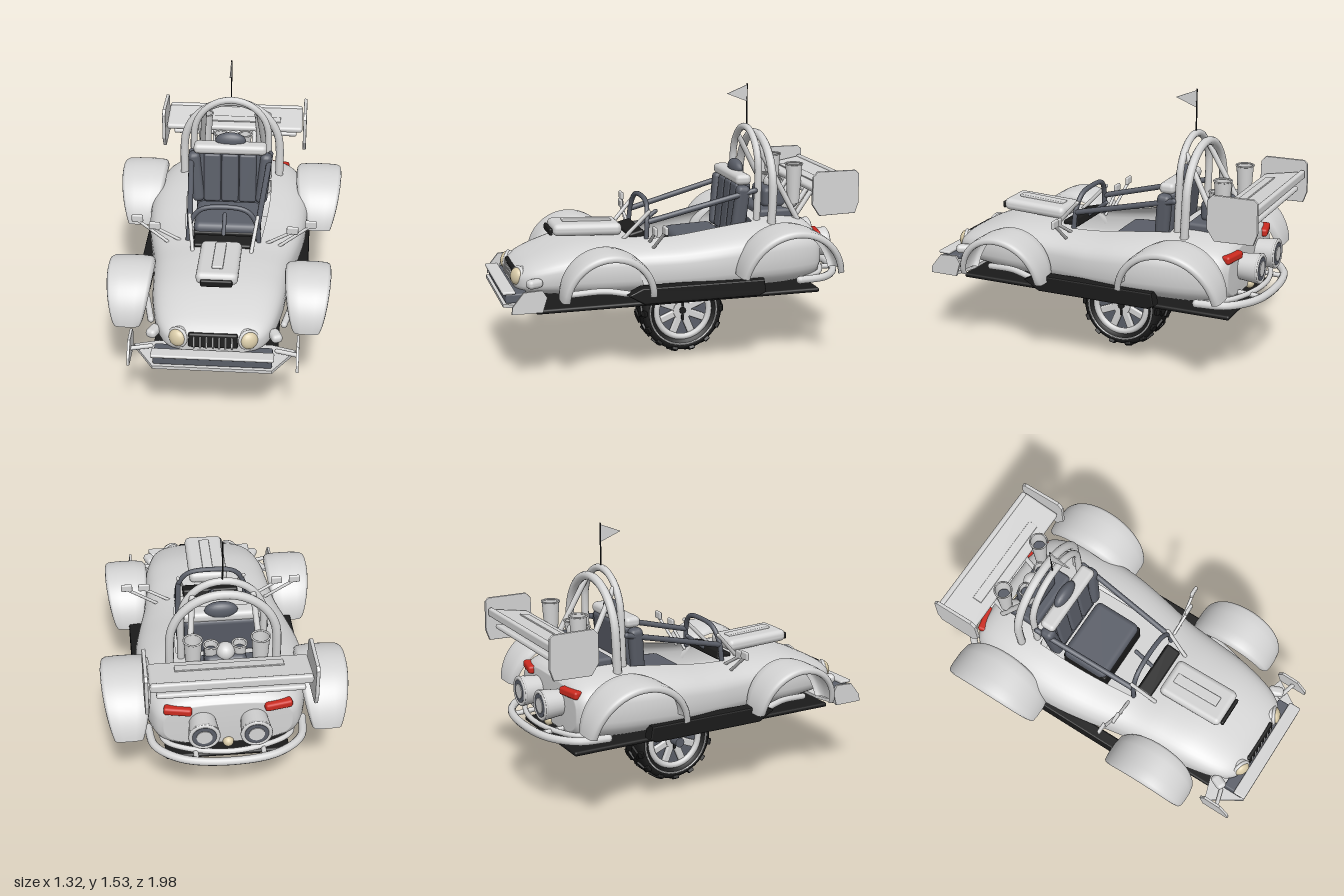
import * as THREE from 'three';
import { mergeVertices } from 'three/addons/utils/BufferGeometryUtils.js';
import { RoundedBoxGeometry } from 'three/addons/geometries/RoundedBoxGeometry.js';

const V = (x, y, z) => new THREE.Vector3(x, y, z);
function material(name, color, side = THREE.FrontSide) {
  const m = new THREE.MeshStandardMaterial({ color, side });
  m.name = name;
  return m;
}

export function createModel() {
  const root = new THREE.Group();
  root.name = 'buggy';
  const paint = material('light grey paint', 0xd4d4d4, THREE.DoubleSide);
  const dark = material('slate grey', 0x5a5e68, THREE.DoubleSide);
  const black = material('black rubber', 0x1b1b1b, THREE.DoubleSide);
  const lamp = material('cream lamp', 0xd9cba8);
  const red = material('red lamp', 0xcc2a1f);

  // ---- helpers ----
  const add = (name, geo, mat, pos = [0, 0, 0], rot = [0, 0, 0], parent = root) => {
    const m = new THREE.Mesh(geo, mat);
    m.name = name;
    m.position.set(...pos);
    m.rotation.set(...rot);
    parent.add(m);
    return m;
  };
  const box = (name, mat, size, pos, rot, r = 0.012, parent = root) =>
    add(name, new RoundedBoxGeometry(...size, 2, Math.min(r, Math.min(...size) * 0.45)), mat, pos, rot, parent);
  const tube = (name, mat, pts, r) => {
    const curve = pts.length === 2 ? new THREE.LineCurve3(V(...pts[0]), V(...pts[1]))
      : new THREE.CatmullRomCurve3(pts.map(p => V(...p)));
    add(name, new THREE.TubeGeometry(curve, pts.length === 2 ? 1 : 40, r, 10), mat);
    for (const p of [pts[0], pts[pts.length - 1]])
      add(name + 'End', new THREE.SphereGeometry(r, 10, 6), mat, p);
  };
  const sides = fn => [1, -1].forEach(fn);
  // surface from a rule; skip leaves openings
  const grid = (rows, cols, fn, flip = false, skip = () => false) => {
    const pos = [], idx = [], n = cols + 1;
    for (let i = 0; i <= rows; i++) for (let j = 0; j <= cols; j++) pos.push(...fn(i, j));
    for (let i = 0; i < rows; i++) for (let j = 0; j < cols; j++) {
      if (skip(i, j)) continue;
      const a = i * n + j, b = a + n, c = a + 1, d = b + 1;
      if (flip) idx.push(a, c, b, c, d, b); else idx.push(a, b, c, c, b, d);
    }
    let g = new THREE.BufferGeometry();
    g.setAttribute('position', new THREE.Float32BufferAttribute(pos, 3));
    g.setIndex(idx);
    g = mergeVertices(g, 1e-5);
    g.computeVertexNormals();
    return g;
  };
  // plate outlined in (z, y), thick along x
  const sidePlate = (name, mat, pts, x, t, bevel = 0) => {
    const s = new THREE.Shape(pts.map(([z, y]) => new THREE.Vector2(-z, y)));
    const g = new THREE.ExtrudeGeometry(s, { depth: t, bevelEnabled: bevel > 0, bevelSize: bevel, bevelThickness: bevel, bevelSegments: 2 });
    g.translate(0, 0, -t / 2);
    return add(name, g, mat, [x, 0, 0], [0, Math.PI / 2, 0]);
  };

  // ---- body shell: z, half width, bottom, top ----
  const sec = [[0.905, 0.19, 0.47, 0.57], [0.875, 0.25, 0.455, 0.595], [0.8, 0.3, 0.44, 0.635], [0.6, 0.35, 0.42, 0.7],
    [0.4, 0.37, 0.41, 0.72], [0.2, 0.39, 0.41, 0.72], [0, 0.43, 0.41, 0.735], [-0.2, 0.46, 0.41, 0.765], [-0.4, 0.465, 0.41, 0.79],
    [-0.6, 0.44, 0.41, 0.795], [-0.72, 0.41, 0.42, 0.78], [-0.78, 0.38, 0.435, 0.755], [-0.81, 0.34, 0.465, 0.725]];
  const plan = new THREE.CatmullRomCurve3(sec.map(s => V(s[0], s[1], 0)));
  const elev = new THREE.CatmullRomCurve3(sec.map(s => V(s[0], s[2], s[3])));
  const ROWS = 74, RING = 48, pow = v => Math.sign(v) * Math.abs(v) ** 0.67;
  const at = i => Math.min(1, Math.max(0, (i - 1) / (ROWS - 2)));
  const shell = grid(ROWS, RING, (i, j) => {
    const p = plan.getPoint(at(i)), e = elev.getPoint(at(i)), a = (j % RING) / RING * Math.PI * 2;
    const k = i === 0 || i === ROWS ? 0 : 1;
    return [k * p.y * pow(Math.cos(a)), (e.y + e.z) / 2 + k * (e.z - e.y) / 2 * pow(Math.sin(a)), p.x];
  }, false, (i, j) => {
    const z = plan.getPoint(at(i + 0.5)).x;
    return (j >= 9 && j <= 14 && z < 0.18 && z > -0.45) || (j >= 10 && j <= 13 && z < -0.5 && z > -0.72);
  });
  add('bodyShell', shell, paint);
  box('cockpitFloor', paint, [0.62, 0.02, 0.72], [0, 0.515, -0.1], [0, 0, 0], 0.006);
  box('floorPlate', black, [0.67, 0.026, 1.63], [0, 0.377, 0], [0, 0, 0], 0.012);

  // ---- fenders with rolled lips ----
  const lip = [[-1, -0.04], [-0.97, -0.02], [-0.85, -0.006], [-0.4, 0], [0.4, 0], [0.85, -0.004], [0.97, -0.012], [1, -0.028], [0.96, -0.04], [0.85, -0.042], [0.8, -0.034]];
  const fender = (name, s, cx, cy, cz, r, w0, w1, start) => add(name, grid(36, lip.length - 1, (i, j) => {
    const a = start + i / 36 * (Math.PI - 2 * start), [k, d] = lip[j];
    const w = w0 + (w1 - w0) * Math.max(0, Math.sin(a)) ** 0.7;
    return [s * (cx + w * k), cy + (r + d) * Math.sin(a), cz + (r + d) * Math.cos(a)];
  }, s > 0), paint);
  sides(s => {
    fender('frontFender', s, 0.48, 0.475, 0.455, 0.258, 0.07, 0.125, 0);
    fender('rearFender', s, 0.525, 0.51, -0.555, 0.3, 0.06, 0.135, 0.13);
    sidePlate('sidePod', black, [[0.33, 0.47], [0.26, 0.5], [-0.42, 0.5], [-0.43, 0.44], [-0.4, 0.425], [0.25, 0.425]], s * 0.445, 0.05, 0.01);
    tube('sidePipe', paint, [[s * 0.36, 0.47, 0.62], [s * 0.4, 0.485, 0.45], [s * 0.43, 0.47, 0.33]], 0.018);
  });

  // ---- single centre wheel ----
  const wheel = new THREE.Group();
  wheel.name = 'wheel';
  wheel.position.set(0, 0.247, -0.075);
  root.add(wheel);
  const half = [[0.165, 0.085], [0.185, 0.106], [0.215, 0.106], [0.235, 0.085]];
  const tyre = [...half.map(([r, y]) => [r, -y]), ...half.slice().reverse()].map(p => new THREE.Vector2(...p));
  const SIDE = [0, 0, -Math.PI / 2];
  add('tyre', new THREE.LatheGeometry(tyre, 48), black, [0, 0, 0], SIDE, wheel);
  for (let i = 0; i < 28; i++) {
    const s = i % 2 ? 1 : -1, row = new THREE.Group();
    row.name = 'treadRow';
    row.rotation.x = i / 28 * Math.PI * 2;
    wheel.add(row);
    box('tread', black, [0.065, 0.022, 0.055], [s * 0.045, 0.235, 0], [0, s * 0.5, 0], 0.004, row);
    box('shoulderTread', black, [0.03, 0.02, 0.034], [s * 0.1, 0.229, 0], [0, 0, -s * 0.5], 0.004, row);
  }
  sides(s => {
    add('whiteRing', new THREE.TorusGeometry(0.197, 0.005, 6, 48), paint, [s * 0.108, 0, 0], [0, Math.PI / 2, 0], wheel);
    add('rimRing', new THREE.TorusGeometry(0.155, 0.018, 10, 48), paint, [s * 0.09, 0, 0], [0, Math.PI / 2, 0], wheel);
    add('rimBack', new THREE.CylinderGeometry(0.165, 0.165, 0.01, 40), dark, [s * 0.045, 0, 0], SIDE, wheel);
    add('hub', new THREE.CylinderGeometry(0.055, 0.055, 0.04, 24), paint, [s * 0.07, 0, 0], SIDE, wheel);
    add('hubCap', new THREE.CylinderGeometry(0.02, 0.02, 0.02, 16), black, [s * 0.087, 0, 0], SIDE, wheel);
    for (let i = 0; i < 8; i++) {
      const a = i / 8 * Math.PI * 2 + 0.39;
      box('spoke', paint, [0.025, 0.11, 0.042], [s * 0.073, Math.cos(a) * 0.1, Math.sin(a) * 0.1], [a, 0, 0], 0.008, wheel);
    }
    // black slots above and below the hub cap
    sides(t => box('hubSlot', black, [0.012, 0.035, 0.016], [s * 0.09, t * 0.04, 0], [0, 0, 0], 0.005, wheel));
  });
  add('axle', new THREE.CylinderGeometry(0.028, 0.028, 0.09, 16), dark, [-0.11, 0, 0], SIDE, wheel);

  // ---- nose: grille, lamps, bumper, scoop ----
  box('grille', black, [0.26, 0.08, 0.05], [0, 0.543, 0.887], [-0.15, 0, 0]);
  for (let i = -3; i <= 3; i++) box('grilleBar', paint, [0.009, 0.066, 0.02], [i * 0.033, 0.537, 0.909], [-0.15, 0, 0], 0.004);
  sides(s => {
    const lampGroup = new THREE.Group();
    lampGroup.name = 'headlight';
    lampGroup.position.set(s * 0.177, 0.545, 0.868);
    lampGroup.rotation.set(-0.2, s * 0.4, 0);
    root.add(lampGroup);
    add('lens', new THREE.SphereGeometry(0.047, 20, 12).scale(1, 1, 0.6), lamp, [0, 0, 0.028], [0, 0, 0], lampGroup);
    add('lampRing', new THREE.TorusGeometry(0.047, 0.01, 10, 28), paint, [0, 0, 0.022], [0, 0, 0], lampGroup);
    add('lampShell', new THREE.CylinderGeometry(0.052, 0.06, 0.06, 28), paint, [0, 0, -0.01], [Math.PI / 2, 0, 0], lampGroup);
    box('marker', paint, [0.06, 0.05, 0.09], [s * 0.32, 0.535, 0.82], [0, s * 0.4, 0], 0.024);
    sidePlate('frontEndPlate', paint, [[0.965, 0.41], [0.96, 0.45], [0.9, 0.525], [0.8, 0.53], [0.775, 0.49], [0.8, 0.41]], s * 0.44, 0.014);
    tube('plateStay', paint, [[s * 0.33, 0.46, 0.85], [s * 0.435, 0.46, 0.88]], 0.012);
  });
  const lower = new THREE.Shape([[-0.31, 0.99], [0.31, 0.99], [0.43, 0.8], [0.3, 0.76], [-0.3, 0.76], [-0.43, 0.8]].map(p => new THREE.Vector2(...p)));
  add('splitter', new THREE.ExtrudeGeometry(lower, { depth: 0.018, bevelEnabled: false }), paint, [0, 0.433, 0], [Math.PI / 2, 0, 0]);
  box('bumperCore', dark, [0.62, 0.052, 0.12], [0, 0.458, 0.915], [0, 0, 0], 0.01);
  box('bumperRail', paint, [0.64, 0.018, 0.072], [0, 0.491, 0.957], [0, 0, 0], 0.008);
  box('hoodScoop', paint, [0.225, 0.07, 0.39], [0, 0.758, 0.475], [-0.04, 0, 0], 0.03);
  box('scoopMouth', black, [0.17, 0.04, 0.02], [0, 0.754, 0.68], [0, 0, 0], 0.015);
  box('scoopRidge', paint, [0.06, 0.016, 0.28], [0, 0.796, 0.465], [-0.06, 0, 0], 0.006);

  // ---- cockpit ----
  box('dashboard', black, [0.32, 0.05, 0.09], [0, 0.72, 0.21], [0.25, 0, 0]);
  box('seatCushion', dark, [0.38, 0.1, 0.29], [0, 0.65, -0.18], [0.04, 0, 0], 0.035);
  box('seatBase', black, [0.38, 0.14, 0.29], [0, 0.58, -0.175]);
  box('seatBack', dark, [0.4, 0.4, 0.06], [0, 0.8, -0.395], [-0.1, 0, 0], 0.025);
  for (let i = -1; i <= 1; i++) box('seatPad', dark, [0.1, 0.3, 0.03], [i * 0.105, 0.83, -0.365], [-0.1, 0, 0], 0.014);
  sides(s => box('seatBolster', dark, [0.07, 0.31, 0.08], [s * 0.2, 0.83, -0.375], [-0.1, 0, -s * 0.1], 0.028));
  box('seatTopPad', paint, [0.43, 0.06, 0.09], [0, 1.012, -0.395], [0, 0, 0], 0.025);
  add('headrest', new THREE.SphereGeometry(1, 20, 14).scale(0.09, 0.05, 0.036), dark, [0, 1.05, -0.415]);
  tube('dashHoop', dark, [[-0.2, 0.7, 0.17], [-0.185, 0.82, 0.16], [-0.13, 0.895, 0.15], [0, 0.915, 0.145], [0.13, 0.895, 0.15], [0.185, 0.82, 0.16], [0.2, 0.7, 0.17]], 0.014);
  tube('steeringColumn', dark, [[0, 0.73, 0.18], [0, 0.82, 0.06]], 0.012);
  sides(s => {
    tube('sideBar', dark, [[s * 0.19, 0.805, 0.15], [s * 0.235, 0.955, -0.45]], 0.016);
    tube('screenStay', paint, [[s * 0.16, 0.7, 0.3], [s * 0.19, 0.86, 0.15]], 0.011);
    // mirrors on stalks
    [[0.485, 0.82, 0.14], [0.385, 0.795, 0.17]].forEach(([x, y, z]) => {
      tube('mirrorStalk', paint, [[s * (x - 0.18), 0.68, 0.16], [s * x, y - 0.01, z]], 0.009);
      box('mirror', paint, [0.065, 0.045, 0.018], [s * x, y, z], [0, 0, 0], 0.008);
    });
  });

  // ---- roll cage and flag ----
  const hoop = (name, w, top, z, r) => {
    const pts = [[-w, 0.7, z + 0.01]], base = top - r - w * 1.02;
    for (let i = 0; i <= 12; i++) {
      const a = Math.PI * (1 - i / 12);
      pts.push([w * Math.cos(a), base + w * 1.02 * Math.sin(a), z]);
    }
    pts.push([w, 0.7, z + 0.01]);
    tube(name, paint, pts, r);
  };
  hoop('frontHoop', 0.22, 1.3, -0.475, 0.02);
  hoop('rearHoop', 0.285, 1.265, -0.54, 0.024);
  sides(s => tube('cageBrace', paint, [[s * 0.16, 1.2, -0.49], [s * 0.2, 0.77, -0.72]], 0.016));
  tube('flagPole', black, [[0, 1.28, -0.48], [0, 1.525, -0.48]], 0.004);
  sidePlate('flag', paint, [[-0.48, 1.52], [-0.36, 1.472], [-0.48, 1.425]], 0, 0.006);

  // ---- engine ----
  box('engineBlock', dark, [0.36, 0.26, 0.2], [0, 0.7, -0.605], [0, 0, 0], 0.02);
  box('engineTop', dark, [0.22, 0.12, 0.14], [0, 0.88, -0.62], [0, 0, 0], 0.03);
  add('airDome', new THREE.SphereGeometry(0.05, 20, 12), paint, [0, 0.95, -0.64]);
  const horn = (x, y, z, h, r) => {
    add('intakeHorn', new THREE.CylinderGeometry(r, r * 0.7, h, 24, 1, true), paint, [x, y + h / 2, z]);
    add('hornRim', new THREE.TorusGeometry(r, 0.005, 8, 24), paint, [x, y + h, z], [Math.PI / 2, 0, 0]);
    add('hornInside', new THREE.CylinderGeometry(r * 0.7, r * 0.7, 0.006, 20), dark, [x, y + h * 0.7, z]);
  };
  sides(s => {
    horn(s * 0.175, 0.86, -0.705, 0.225, 0.048);
    horn(s * 0.075, 0.88, -0.63, 0.11, 0.038);
    tube('intakePipe', paint, [[s * 0.1, 0.78, -0.66], [s * 0.175, 0.87, -0.705]], 0.03);
  });

  // ---- rear wing ----
  box('wingUpper', paint, [0.83, 0.036, 0.24], [0, 0.985, -0.86], [0.17, 0, 0], 0.016);
  box('wingFlap', paint, [0.82, 0.05, 0.03], [0, 1.005, -0.965], [0, 0, 0], 0.012);
  box('wingRidge', paint, [0.56, 0.009, 0.055], [0, 0.999, -0.818], [0.17, 0, 0], 0.003);
  box('wingLower', paint, [0.76, 0.028, 0.13], [0, 0.912, -0.89], [0.3, 0, 0], 0.012);
  sides(s => {
    sidePlate('wingEndPlate', paint, [[-0.72, 1.05], [-0.745, 1.077], [-0.965, 1.077], [-0.983, 1.06], [-0.987, 0.9], [-0.967, 0.843], [-0.76, 0.838], [-0.718, 0.9]], s * 0.43, 0.012, 0.004);
    [0.12, 0.19].forEach(x => tube('wingStrut', paint, [[s * x, 0.74, -0.68], [s * x, 0.96, -0.83]], 0.014));
  });

  // ---- tail: exhausts, lamps, bumper ----
  sides(s => {
    const pipe = new THREE.Group();
    pipe.name = 'exhaust';
    pipe.position.set(s * 0.137, 0.612, -0.855);
    pipe.rotation.x = -Math.PI / 2;
    root.add(pipe);
    add('exhaustCan', new THREE.CylinderGeometry(0.084, 0.07, 0.13, 28), paint, [0, 0, 0], [0, 0, 0], pipe);
    add('exhaustRim', new THREE.TorusGeometry(0.073, 0.012, 10, 28), paint, [0, 0.06, 0], [Math.PI / 2, 0, 0], pipe);
    add('exhaustInside', new THREE.CylinderGeometry(0.064, 0.064, 0.006, 24), dark, [0, 0.066, 0], [0, 0, 0], pipe);
    add('exhaustCore', new THREE.CylinderGeometry(0.042, 0.042, 0.008, 20), paint, [0, 0.069, 0], [0, 0, 0], pipe);
    box('tailLight', red, [0.15, 0.044, 0.05], [s * 0.265, 0.7, -0.8], [0, -s * 0.2, 0], 0.014);
    tube('bumperStay', paint, [[s * 0.18, 0.48, -0.76], [s * 0.18, 0.47, -0.95]], 0.014);
  });
  add('reflector', new THREE.SphereGeometry(0.03, 16, 10), lamp, [0, 0.47, -0.81]);
  const bow = (name, w, zEnd, zFar, y, r) => {
    const zMid = (zEnd + zFar) / 2;
    tube(name, paint, [[-w, y, zEnd], [-w * 0.93, y, zMid], [-w * 0.6, y, zFar + 0.04], [0, y, zFar],
      [w * 0.6, y, zFar + 0.04], [w * 0.93, y, zMid], [w, y, zEnd]], r);
  };
  bow('rearBumper', 0.42, -0.66, -0.965, 0.47, 0.022);
  bow('innerBumper', 0.36, -0.68, -0.9, 0.48, 0.015);
  return root;
}
